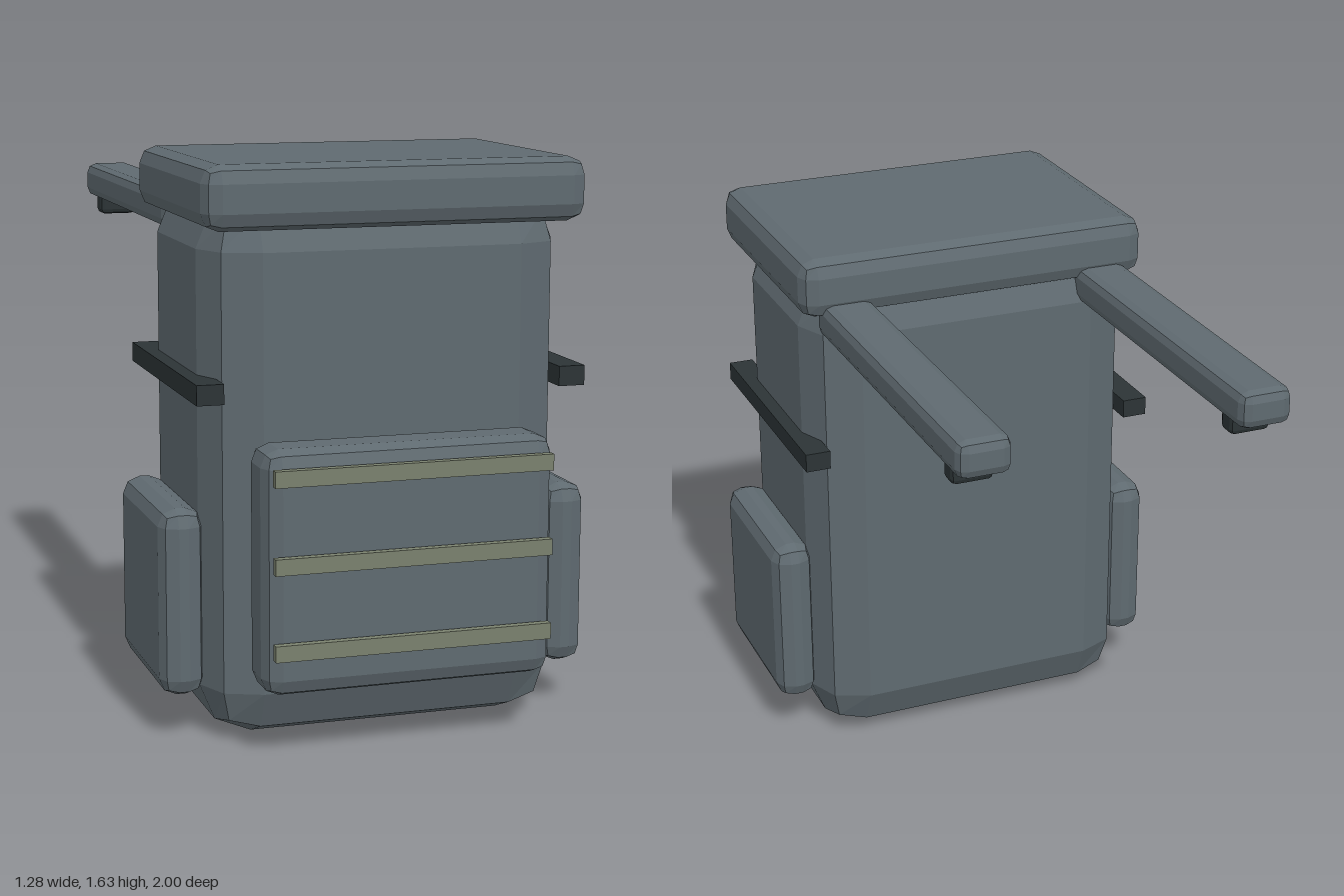
import * as THREE from 'three';
import { RoundedBoxGeometry } from 'three/addons/geometries/RoundedBoxGeometry.js';

const material = (color) => new THREE.MeshStandardMaterial({ color, flatShading: true });

export function createModel() {
  const group = new THREE.Group();
  const fabric = material(0x5f6a70);
  const webbing = material(0x2c3436);
  const trim = material(0x7a816e);

  // Box given by its extents on each axis; a bevel radius rounds it in two facets
  function box(name, mat, [x0, x1], [y0, y1], [z0, z1], bevel = 0) {
    const size = [x1 - x0, y1 - y0, z1 - z0];
    const geometry = bevel
      ? new RoundedBoxGeometry(...size, 1, bevel)
      : new THREE.BoxGeometry(...size);
    const mesh = new THREE.Mesh(geometry, mat);
    mesh.name = name;
    mesh.position.set((x0 + x1) / 2, (y0 + y1) / 2, (z0 + z1) / 2);
    group.add(mesh);
  }

  // Same box on both sides, x range measured outwards from the centre
  function pair(name, mat, [x0, x1], y, z, bevel) {
    box('left' + name, mat, [x0, x1], y, z, bevel);
    box('right' + name, mat, [-x1, -x0], y, z, bevel);
  }

  // Main bag and lid
  box('body', fabric, [-0.525, 0.525], [0, 1.54], [0.05, 0.8], 0.15);
  box('lid', fabric, [-0.553, 0.553], [1.453, 1.633], [0.05, 0.865], 0.05);

  // Front pocket with its rows of webbing
  box('frontPocket', fabric, [-0.42, 0.42], [0.187, 0.875], [0.78, 0.97], 0.05);
  [0.325, 0.566, 0.807].forEach((y, i) => {
    box('pocketStrip' + (i + 1), trim, [-0.4, 0.4], [y - 0.023, y + 0.023], [0.976, 1]);
  });

  // Side pockets and compression straps
  pair('SidePocket', fabric, [0.512, 0.64], [0.125, 0.665], [0.155, 0.695], 0.05);
  pair('CompressionStrap', webbing, [0.49, 0.567], [0.983, 1.04], [0.035, 0.815]);

  // Shoulder straps reaching out behind, each with a buckle below its end
  pair('ShoulderStrap', fabric, [0.333, 0.49], [1.387, 1.497], [-1, 0.13], 0.03);
  pair('Buckle', webbing, [0.352, 0.472], [1.337, 1.41], [-0.91, -0.84], 0.015);

  return group;
}
